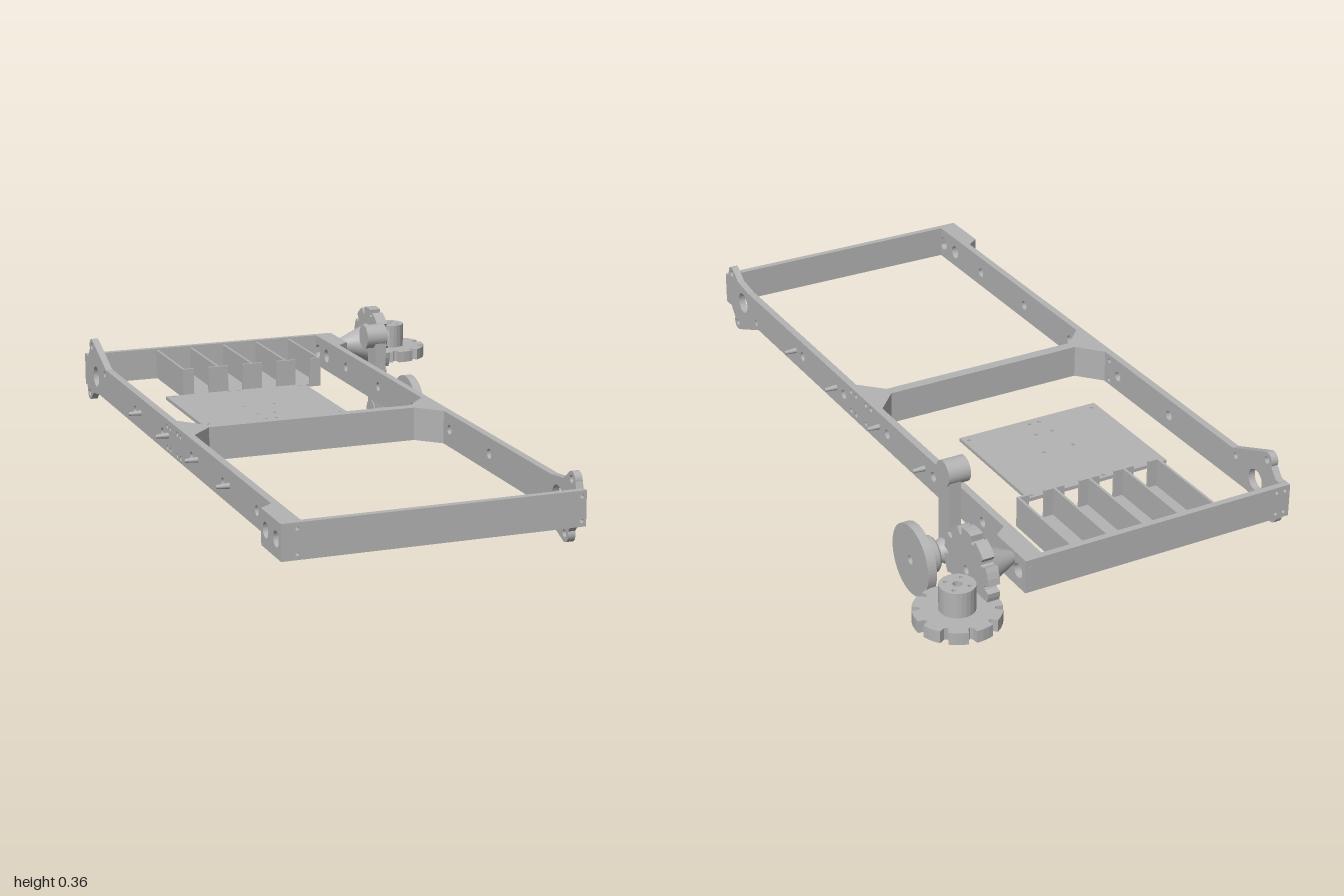
import * as THREE from 'three';

const Y0 = 0.168, Y1 = 0.26, YC = 0.214, ZC = 0.0675; // frame height range and frame centre
const metal = new THREE.MeshStandardMaterial({ color: 0xb3b3b3 });
metal.name = 'light grey metal';

export function createModel() {
  const root = new THREE.Group();
  root.name = 'machineFrame';

  const add = (name, geo, x = 0, y = 0, z = 0, parent = root) => {
    const m = new THREE.Mesh(geo, metal);
    m.name = name;
    m.position.set(x, y, z);
    parent.add(m);
    return m;
  };
  const box = (name, x0, x1, y0, y1, z0, z1, parent) => add(name,
    new THREE.BoxGeometry(x1 - x0, y1 - y0, z1 - z0), (x0 + x1) / 2, (y0 + y1) / 2, (z0 + z1) / 2, parent);
  const hole = (shape, u, v, r) => {
    const p = new THREE.Path();
    p.absarc(u, v, r, 0, Math.PI * 2, true);
    shape.holes.push(p);
  };
  const rect = (u0, u1, v0, v1) => new THREE.Shape(
    [[u0, v0], [u1, v0], [u1, v1], [u0, v1]].map(p => new THREE.Vector2(...p)));
  const extrude = (shape, depth) => new THREE.ExtrudeGeometry(shape,
    { depth, bevelEnabled: false, curveSegments: 12 });
  // Solid of revolution about x, from [x, radius] points
  const turned = (name, pts, y, z) => {
    for (let i = 0; i < pts.length - 1; i++) {
      const [[xa, ra], [xb, rb]] = [pts[i], pts[i + 1]];
      const g = new THREE.CylinderGeometry(rb, ra, xb - xa, 40);
      g.rotateZ(-Math.PI / 2);
      add(name, g, (xa + xb) / 2, y, z);
    }
  };

  // Side rail with its eared motor flange, drawn in (z, y)
  const railShape = new THREE.Shape();
  railShape.moveTo(-0.85, Y0);
  railShape.lineTo(0.77, Y0);
  railShape.lineTo(0.9, 0.115);
  railShape.absarc(0.922, 0.13, 0.022, Math.PI * 1.3, Math.PI * 2.15, false);
  railShape.lineTo(0.965, Y0);
  railShape.lineTo(0.982, Y0);
  railShape.lineTo(0.982, Y1);
  railShape.absarc(0.955, 0.277, 0.021, 0, Math.PI * 0.75, false);
  railShape.lineTo(0.91, Y1 + 0.009);
  railShape.lineTo(0.84, Y1);
  railShape.lineTo(-0.85, Y1);
  hole(railShape, 0.877, 0.212, 0.03);
  hole(railShape, 0.955, 0.278, 0.01);
  hole(railShape, 0.922, 0.13, 0.01);
  hole(railShape, 0.785, 0.185, 0.009);
  for (let i = 0; i < 5; i++) hole(railShape, 0.465 - i * 0.2635, YC + 0.002, 0.0135);
  for (const z of [0.155, 0.125, 0.065, 0.035]) for (const y of [0.187, 0.246]) hole(railShape, z, y, 0.007);
  for (const z of [-0.83, -0.755]) hole(railShape, z, YC, 0.02);
  const railGeo = extrude(railShape, 0.02);
  railGeo.rotateY(-Math.PI / 2);
  railGeo.translate(0.01, -YC, -ZC);
  add('rightRail', railGeo, 0.207, YC, ZC);
  add('leftRail', railGeo, -0.525, YC, ZC).rotation.x = Math.PI;

  // Pins and drilled corner blocks, on opposite sides of the frame
  const blockGeo = (() => {
    const s = rect(-0.865, -0.695, Y0, Y1);
    for (const z of [-0.83, -0.755]) hole(s, z, YC, 0.02);
    const g = extrude(s, 0.036);
    g.rotateY(-Math.PI / 2);
    g.translate(0.036, -YC, -ZC);
    const p = g.attributes.position;
    for (let i = 0; i < p.count; i++) // sloped inner end
      if (p.getX(i) > 0.03 && p.getZ(i) > -0.77) p.setZ(i, p.getZ(i) - 0.028);
    g.computeVertexNormals();
    return g;
  })();
  add('backCornerBlock', blockGeo, 0.216, YC, ZC);
  add('frontCornerBlock', blockGeo, -0.534, YC, ZC).rotation.y = Math.PI;
  for (const [x, s] of [[0.217, 1], [-0.535, -1]])
    for (let i = 0; i < 4; i++) {
      const g = new THREE.CylinderGeometry(0.005, 0.008, 0.036, 12);
      g.rotateZ(-s * Math.PI / 2);
      add('sidePin', g, x + s * 0.017, YC + 0.003, 0.51 - i * 0.2615);
    }

  // End beams with screw holes
  const endBeam = (name, x0, x1, z) => {
    const s = rect(x0, x1, Y0, Y1);
    for (const x of [x0 + 0.015, x0 + 0.04, x1 - 0.012]) for (const y of [0.183, 0.245]) hole(s, x, y, 0.005);
    add(name, extrude(s, 0.018), 0, 0, z);
  };
  endBeam('frontBeam', -0.57, 0.217, 0.982);
  endBeam('backBeam', -0.535, 0.252, -0.866);

  // Cross beam with a triangular gusset flare at each end
  const cross = new THREE.Shape([[-0.518, 0.0], [-0.455, 0.07], [0.135, 0.07], [0.2, 0.0],
    [0.2, 0.165], [0.135, 0.1], [-0.455, 0.1], [-0.518, 0.165]].map(([x, z]) => new THREE.Vector2(x, -z)));
  const crossGeo = extrude(cross, Y1 - Y0);
  crossGeo.rotateX(-Math.PI / 2);
  add('crossBeam', crossGeo, 0, Y0, 0);

  // Electronics plate with small mounting holes
  const plate = rect(-0.39, 0.037, 0.142, 0.512);
  for (const [x, z] of [[-0.37, 0.165], [-0.2, 0.165], [-0.17, 0.165], [0.02, 0.165], [-0.37, 0.5], [-0.2, 0.5],
    [-0.17, 0.5], [0.02, 0.5], [-0.215, 0.32], [-0.125, 0.32], [-0.205, 0.225], [-0.155, 0.225]]) hole(plate, x, z, 0.005);
  const plateGeo = extrude(plate, 0.01);
  plateGeo.rotateX(-Math.PI / 2);
  add('mountingPlate', plateGeo, 0, 0.186, 0);

  // Four-bay tray with front lips
  const tray = new THREE.Group();
  tray.name = 'batteryTray';
  root.add(tray);
  const tx = -0.314, pitch = 0.1055, wall = 0.007;
  box('trayFloor', tx, tx + 4 * pitch, 0.169, 0.177, -0.85, -0.578, tray);
  for (let i = 0; i <= 4; i++) {
    const x = tx + i * pitch;
    box('trayDivider', x - wall / 2, x + wall / 2, 0.169, 0.255, -0.85, -0.578, tray);
    box('trayLip', i ? x - 0.03 : x, i < 4 ? x + 0.03 : x, 0.169, 0.255, -0.585, -0.578, tray);
  }

  // Suspension arm, drive hub and wheel
  const armZ = -0.493;
  turned('armPivot', [[0.217, 0.035], [0.28, 0.035]], 0.328, armZ);
  box('suspensionArm', 0.243, 0.276, 0.1, 0.328, armZ - 0.03, armZ + 0.03);
  turned('wheelMotor', [[0.24, 0.034], [0.282, 0.034], [0.312, 0.014]], 0.099, armZ);
  turned('wheelHub', [[0.307, 0.045], [0.313, 0.05], [0.34, 0.053], [0.352, 0.075]], 0.099, armZ);
  const disc = new THREE.Shape();
  disc.absarc(0, 0, 0.0985, 0, Math.PI * 2, false);
  hole(disc, 0, 0, 0.012);
  const discGeo = new THREE.ExtrudeGeometry(disc, { depth: 0.025, bevelEnabled: false, curveSegments: 32 });
  discGeo.rotateY(Math.PI / 2);
  add('wheelDisc', discGeo, 0.35, 0.0985, armZ);

  // Notched gears
  const gear = (phase, bore) => {
    const s = new THREE.Shape(), n = 10, step = Math.PI * 2 / n;
    for (let i = 0; i < n; i++) {
      const a = phase + i * step;
      for (const [t, r] of [[0, 0.111], [0.25, 0.111], [0.5, 0.111], [0.7, 0.111], [0.75, 0.094], [0.85, 0.09], [0.95, 0.094]]) {
        const x = r * Math.cos(a + t * step), y = r * Math.sin(a + t * step);
        i || t ? s.lineTo(x, y) : s.moveTo(x, y);
      }
    }
    s.closePath();
    hole(s, 0, 0, bore);
    return extrude(s, 0.033);
  };
  const uprightGear = gear(0.1, 0.012);
  uprightGear.rotateY(Math.PI / 2);
  add('uprightGear', uprightGear, 0.347, 0.236, -0.797);
  turned('gearCone', [[0.21, 0.017], [0.25, 0.017], [0.348, 0.06]], 0.236, -0.797);
  const flatGear = gear(0.25, 0.012);
  flatGear.rotateX(-Math.PI / 2);
  add('flatGear', flatGear, 0.455, 0.168, -0.889);

  // Hub above the flat gear, with four screw holes
  const hub = new THREE.Shape();
  hub.absarc(0, 0, 0.046, 0, Math.PI * 2, false);
  for (let i = 0; i < 4; i++) hole(hub, 0.031 * Math.cos(i * Math.PI / 2 + 0.78), 0.031 * Math.sin(i * Math.PI / 2 + 0.78), 0.005);
  hole(hub, 0, 0, 0.012);
  const hubGeo = extrude(hub, 0.07);
  hubGeo.rotateX(-Math.PI / 2);
  add('flatGearHub', hubGeo, 0.455, 0.2, -0.889);

  return root;
}
